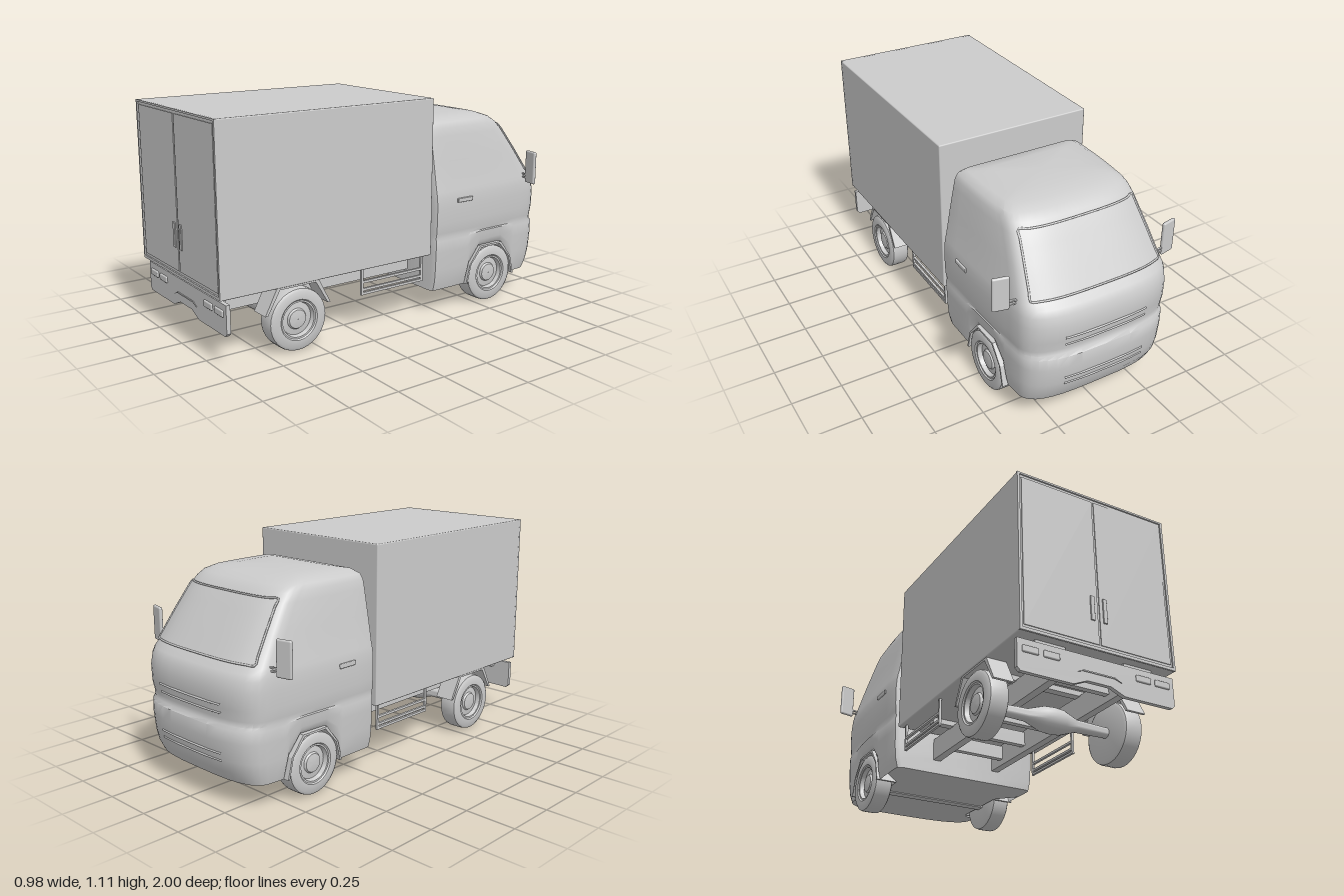
import * as THREE from 'three';
import { toCreasedNormals } from 'three/addons/utils/BufferGeometryUtils.js';
import { RoundedBoxGeometry } from 'three/addons/geometries/RoundedBoxGeometry.js';

const grey = new THREE.MeshStandardMaterial({ color: 0xcccccc, side: THREE.DoubleSide });

// Cab outline by height: y, half width, front z, start of front corner z, back z
const CAB = [
  [0.12, 0.385, -0.94, -0.8, -0.2], [0.17, 0.397, -0.968, -0.8, -0.2], [0.23, 0.402, -0.985, -0.8, -0.2],
  [0.32, 0.405, -0.995, -0.8, -0.2], [0.38, 0.407, -0.992, -0.8, -0.2], [0.395, 0.402, -0.978, -0.8, -0.2],
  [0.42, 0.407, -0.975, -0.8, -0.2], [0.47, 0.41, -0.988, -0.8, -0.2], [0.55, 0.411, -0.99, -0.8, -0.2],
  [0.6, 0.408, -0.978, -0.8, -0.2], [0.63, 0.403, -0.96, -0.8, -0.2], [0.65, 0.398, -0.935, -0.795, -0.2],
  [0.78, 0.375, -0.845, -0.72, -0.2], [0.9, 0.352, -0.76, -0.64, -0.2], [0.94, 0.343, -0.727, -0.6, -0.2],
  [0.966, 0.33, -0.69, -0.57, -0.206], [0.985, 0.295, -0.635, -0.53, -0.225], [0.996, 0.2, -0.56, -0.48, -0.29],
];

function cabAt(y) {
  let i = 0;
  while (i < CAB.length - 2 && CAB[i + 1][0] < y) i++;
  const t = (y - CAB[i][0]) / (CAB[i + 1][0] - CAB[i][0]);
  return CAB[i].map((v, k) => THREE.MathUtils.lerp(v, CAB[i + 1][k], t));
}

// Point on the curved cab front; s runs from -1 to 1 across it
function frontPoint(y, s, out = 0) {
  const [, w, zf, zc] = cabAt(y);
  const z = zc + (zf - zc) * Math.pow(Math.max(0, 1 - Math.pow(Math.abs(s), 3.2)), 1 / 3.2);
  return new THREE.Vector3(w * 0.96 * s, y, z - out);
}

// Wheel arch height along z
const WHEEL_F = -0.59, WHEEL_R = 0.6;
const ARCH = [[0.17, 0.12], [0.145, 0.22], [0.075, 0.31]];
function archY(z) {
  const d = Math.abs(z - WHEEL_F);
  if (d >= 0.17) return 0.12;
  if (d >= 0.145) return THREE.MathUtils.mapLinear(d, 0.17, 0.145, 0.12, 0.22);
  return d >= 0.075 ? THREE.MathUtils.mapLinear(d, 0.145, 0.075, 0.22, 0.31) : 0.31;
}

// Horizontal ring of the cab, anticlockwise from above
function cabRing([y, w, , zc, zb]) {
  const half = [[0, zb], [w - 0.025, zb], [w - 0.004, zb - 0.012], [w, zb - 0.035]];
  for (const z of [-0.32, -0.42, -0.445, -0.515, -0.59, -0.665, -0.735, -0.76, -0.8]) {
    const t = (z + 0.235) / -0.565;
    half.push([w * (1 - 0.04 * t ** 3), THREE.MathUtils.lerp(zb - 0.035, zc, t)]);
  }
  for (let j = 1; j <= 9; j++) {
    const p = frontPoint(y, j === 9 ? 0 : Math.pow(Math.cos(j * Math.PI / 18), 0.625));
    half.push([p.x, p.z]);
  }
  return [...half, ...half.slice(1, -1).reverse().map(([x, z]) => [-x, z])];
}

// Quad mesh over rows of points
function gridGeometry(rows, closed) {
  const n = rows[0].length, index = [];
  for (let i = 0; i < rows.length - 1; i++)
    for (let j = 0; j < (closed ? n : n - 1); j++) {
      const a = i * n + j, b = i * n + (j + 1) % n;
      index.push(a, b, b + n, a, b + n, a + n);
    }
  const g = new THREE.BufferGeometry().setFromPoints(rows.flat());
  g.setIndex(index);
  return g;
}

// Side outline in (z, y) extruded across x0..x1
function sideExtrude(points, x0, x1) {
  const shape = new THREE.Shape(points.map(([z, y]) => new THREE.Vector2(z, y)));
  return new THREE.ExtrudeGeometry(shape, { depth: x1 - x0, bevelEnabled: false })
    .rotateY(-Math.PI / 2).translate(x1, 0, 0);
}

// Bent strip following a half outline of [distance, y] mirrored about zMid
function archStrip(half, zMid, thick, x0, x1) {
  const line = (d) => [...half.map(([a, y], i) => [zMid + a - d, i === half.length - 1 ? y - d : y]),
    ...half.slice().reverse().map(([a, y], i) => [zMid - a + d, i === 0 ? y - d : y])];
  return sideExtrude([...line(0), ...line(thick).reverse()], x0, x1);
}

export function createModel() {
  const model = new THREE.Group();
  const add = (name, geometry, parent = model) => {
    const m = new THREE.Mesh(geometry, grey);
    m.name = name;
    parent.add(m);
    return m;
  };
  const box = (name, x0, x1, y0, y1, z0, z1, r = 0) => {
    const s = [x1 - x0, y1 - y0, z1 - z0];
    const g = r ? new RoundedBoxGeometry(...s, 2, r) : new THREE.BoxGeometry(...s);
    return add(name, g.translate((x0 + x1) / 2, (y0 + y1) / 2, (z0 + z1) / 2));
  };

  // Cab shell, with its lower rows lifted over the wheel arches
  const rows = CAB.map((row) => cabRing(row).map(([x, z]) => {
    const low = Math.abs(x) > 0.3 ? archY(z) : 0.12;
    const y = row[0] < 0.4 ? THREE.MathUtils.mapLinear(row[0], 0.12, 0.4, low, 0.4) : row[0];
    return new THREE.Vector3(x, y, z);
  }));
  rows.push(rows[0].map(() => new THREE.Vector3(0, 1, -0.42)));
  add('cabShell', toCreasedNormals(gridGeometry(rows, true), 0.7));

  // Cab floor with wheel notches, and the inner wheel well block
  const floor = cabRing(CAB[0]).map(([x, z]) =>
    new THREE.Vector2(Math.abs(z - WHEEL_F) < 0.171 && Math.abs(x) > 0.3 ? Math.sign(x) * 0.29 : x, z));
  add('cabFloor', new THREE.ShapeGeometry(new THREE.Shape(floor)).rotateX(Math.PI / 2).translate(0, 0.12, 0));
  box('wheelWellBlock', -0.29, 0.29, 0.122, 0.33, -0.78, -0.4);

  // Windscreen and its seal
  const steps = 16, S = 0.9, screen = [];
  for (let i = 0; i <= 8; i++) {
    const y = 0.665 + 0.255 * i / 8;
    screen.push(Array.from({ length: steps + 1 }, (_, j) => frontPoint(y, S - 2 * S * j / steps, 0.004)));
  }
  const glass = gridGeometry(screen, false);
  glass.computeVertexNormals();
  add('windscreen', glass);
  const edge = [...screen[0], ...screen.slice(1, -1).map((r) => r[steps]),
    ...screen[8].slice().reverse(), ...screen.slice(1, -1).reverse().map((r) => r[0])];
  add('windscreenSeal', new THREE.TubeGeometry(new THREE.CatmullRomCurve3(edge, true), 140, 0.005, 6, true));

  // Front grille bars following the nose
  for (const y of [0.485, 0.445, 0.26, 0.225]) {
    const path = [-0.55, -0.28, 0, 0.28, 0.55].map((s) => frontPoint(y, s, -0.001));
    add('grilleBar', new THREE.TubeGeometry(new THREE.CatmullRomCurve3(path), 20, 0.006, 6));
  }

  // Cargo box, rear frame and doors
  box('cargoBox', -0.4, 0.4, 0.32, 1.105, -0.18, 0.99, 0.006);
  const frame = new THREE.Shape([[-0.4, 0.322], [0.4, 0.322], [0.4, 1.105], [-0.4, 1.105]].map((p) => new THREE.Vector2(...p)));
  frame.holes.push(new THREE.Path([[-0.388, 0.336], [-0.388, 1.096], [0.388, 1.096], [0.388, 0.336]].map((p) => new THREE.Vector2(...p))));
  add('rearFrame', new THREE.ExtrudeGeometry(frame, { depth: 0.012, bevelEnabled: false }).translate(0, 0, 0.985));

  // Chassis cross members
  for (const z of [-0.1, 0.12, 0.34, 0.82]) box('crossMember', -0.16, 0.16, 0.22, 0.29, z - 0.015, z + 0.015);
  for (const z of [0, 0.3, 0.6, 0.9]) box('floorBearer', -0.3, 0.3, 0.295, 0.325, z - 0.02, z + 0.02);

  // Rear axle with differential
  const axle = [[0.001, -0.31], [0.025, -0.31], [0.03, -0.13], [0.058, -0.05], [0.062, 0], [0.058, 0.05], [0.03, 0.13], [0.025, 0.31], [0.001, 0.31]];
  add('rearAxle', toCreasedNormals(new THREE.LatheGeometry(axle.map((p) => new THREE.Vector2(...p)), 20)
    .rotateZ(Math.PI / 2), 0.7)).position.set(0, 0.15, WHEEL_R);
  box('frontAxle', -0.31, 0.31, 0.115, 0.17, WHEEL_F - 0.025, WHEEL_F + 0.025);

  // Rear bumper with raised centre, and a recess ledge
  const bumper = [[-0.4, 0.165], [-0.385, 0.15], [-0.13, 0.15], [-0.06, 0.18], [0.06, 0.18], [0.13, 0.15], [0.385, 0.15],
    [0.4, 0.165], [0.4, 0.297], [-0.4, 0.297]].map((p) => new THREE.Vector2(...p));
  add('rearBumper', new THREE.ExtrudeGeometry(new THREE.Shape(bumper), { depth: 0.02, bevelEnabled: false }).translate(0, 0, 0.95));
  const ledge = [[-0.115, 0.208], [-0.08, 0.22], [0.08, 0.22], [0.115, 0.208], [0.08, 0.226], [-0.08, 0.226]].map((p) => new THREE.Vector2(...p));
  add('bumperLedge', new THREE.ExtrudeGeometry(new THREE.Shape(ledge), { depth: 0.006, bevelEnabled: false }).translate(0, 0, 0.968));

  // Wheel profile: radius and distance outwards
  const tyre = [[0.001, -0.05], [0.135, -0.05], [0.147, -0.043], [0.15, -0.03], [0.15, 0.03], [0.147, 0.042], [0.135, 0.05],
    [0.098, 0.05], [0.092, 0.044], [0.084, 0.044], [0.078, 0.022], [0.05, 0.026], [0.044, 0.036], [0.02, 0.04], [0.001, 0.04]];
  const wheelGeometry = toCreasedNormals(new THREE.LatheGeometry(tyre.map((p) => new THREE.Vector2(...p)), 36).rotateZ(-Math.PI / 2), 0.6);

  for (const s of [1, -1]) {
    // Box built on the left and reflected for the right
    const side = (name, x0, x1, ...rest) => (s > 0 ? box(name, x0, x1, ...rest) : box(name, -x1, -x0, ...rest));
    const strip = (name, half, z, t, x0, x1) => add(name, s > 0 ? archStrip(half, z, t, x0, x1) : archStrip(half, z, t, -x1, -x0));

    side('rearDoor', 0.005, 0.378, 0.35, 1.083, 0.985, 0.994);
    side('doorHandle', 0.022, 0.043, 0.46, 0.58, 0.99, 1, 0.003);
    side('chassisRail', 0.15, 0.19, 0.19, 0.3, -0.35, 0.95);
    side('bumperBracket', 0.15, 0.3, 0.26, 0.322, 0.92, 0.95);
    side('rearLampOuter', 0.297, 0.376, 0.236, 0.268, 0.96, 0.978, 0.006);
    side('rearLampInner', 0.195, 0.274, 0.236, 0.268, 0.96, 0.978, 0.006);

    for (const [name, z] of [['frontWheel', WHEEL_F], ['rearWheel', WHEEL_R]]) {
      const wheel = add(name, wheelGeometry);
      wheel.position.set(s * 0.35, 0.15, z);
      wheel.rotation.y = s > 0 ? 0 : Math.PI;
    }
    strip('frontArch', ARCH, WHEEL_F, 0.01, 0.285, 0.402);
    strip('rearMudguard', [[0.175, 0.2], [0.11, 0.325]], WHEEL_R, 0.014, 0.295, 0.395);

    // Side guard ladder
    for (const z of [-0.139, 0.229]) side('guardPost', 0.365, 0.377, 0.185, 0.325, z - 0.006, z + 0.006);
    for (const y of [0.192, 0.212, 0.25]) side('guardBar', 0.365, 0.377, y - 0.006, y + 0.006, -0.14, 0.23);

    // Door handle on the cab and the mirror on its arms
    side('cabDoorHandle', 0.4, 0.417, 0.568, 0.59, -0.44, -0.34, 0.004);
    const mirror = new THREE.Group();
    mirror.name = 'mirror';
    add('mirrorHead', new RoundedBoxGeometry(0.08, 0.17, 0.018, 3, 0.008), mirror).position.set(s * 0.07, 0.06, 0);
    for (const y of [0, 0.016])
      add('mirrorArm', new THREE.BoxGeometry(0.08, 0.007, 0.01), mirror).position.set(s * 0.01, y - 0.002, 0);
    mirror.position.set(s * 0.38, 0.64, -0.828);
    mirror.rotation.y = -s * 0.22;
    model.add(mirror);
  }
  return model;
}
